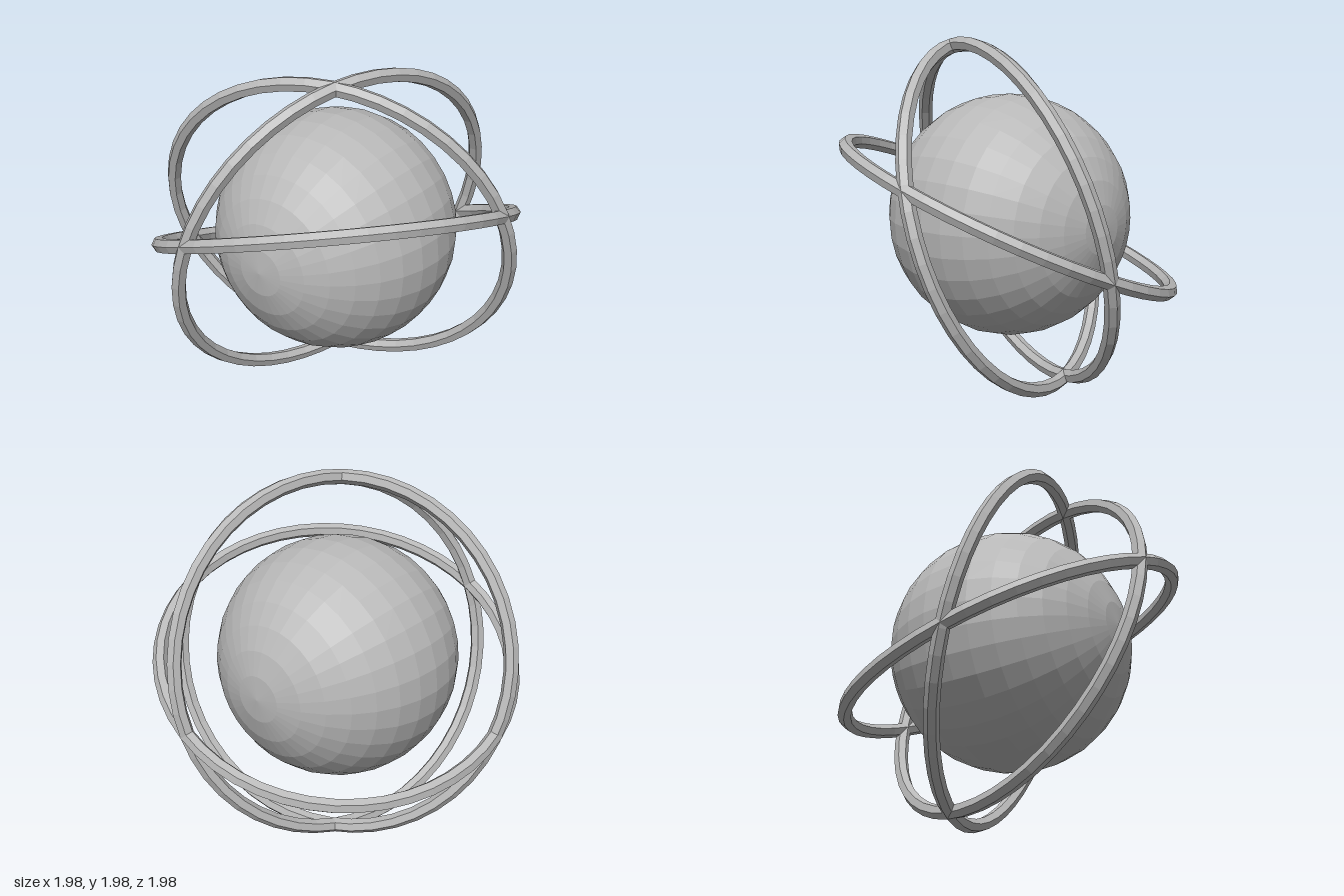
import * as THREE from 'three';

export function createModel() {
  const model = new THREE.Group();
  model.name = 'armillaryGlobe';

  const grey = new THREE.MeshStandardMaterial({ color: 0xb8b8b8, flatShading: true });
  grey.name = 'grey';

  // Faceted globe with its poles facing front and back
  const globe = new THREE.Mesh(new THREE.SphereGeometry(0.677, 32, 16).rotateX(Math.PI / 2), grey);
  globe.name = 'globe';
  globe.position.y = 1;
  model.add(globe);

  // Three tilted six-sided hoops, each given by the axis it circles
  const hoopGeometry = new THREE.TorusGeometry(0.99, 0.041, 6, 48);
  const axes = {
    frontHoop: [0.27, -0.31, 0.912],
    levelHoop: [-0.31, 0.912, -0.27],
    sideHoop: [0.912, -0.27, 0.31],
  };
  const forward = new THREE.Vector3(0, 0, 1);
  for (const [name, axis] of Object.entries(axes)) {
    const hoop = new THREE.Mesh(hoopGeometry, grey);
    hoop.name = name;
    hoop.position.y = 1;
    hoop.quaternion.setFromUnitVectors(forward, new THREE.Vector3(...axis).normalize());
    model.add(hoop);
  }

  return model;
}
